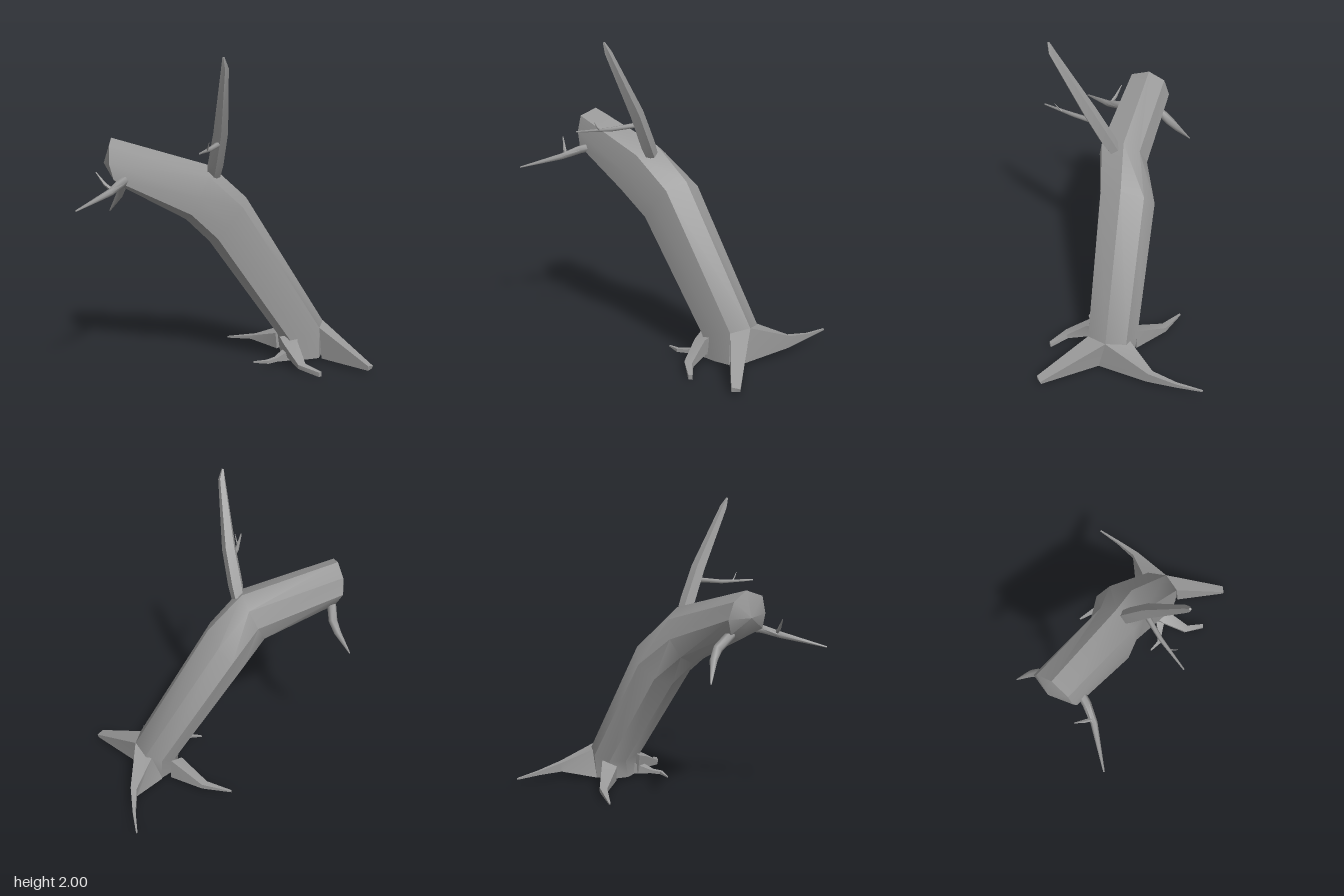
import * as THREE from 'three';
import { toCreasedNormals } from 'three/addons/utils/BufferGeometryUtils.js';

const V = (x, y, z) => new THREE.Vector3(x, y, z);
const material = new THREE.MeshStandardMaterial({ color: 0x989898 });

// Skin between rings of equal point count, closed at both ends (the last centre may be pushed out)
function loft(name, rings, crease, endCentre) {
  const n = rings[0].length;
  const centre = (r) => r.reduce((s, p) => s.add(p), V(0, 0, 0)).divideScalar(n);
  const last = rings.length - 1;
  const tris = [];
  for (let i = 0; i < last; i++) {
    for (let j = 0; j < n; j++) {
      const k = (j + 1) % n;
      const a = rings[i][j], b = rings[i][k], c = rings[i + 1][k], d = rings[i + 1][j];
      tris.push([a, b, c], [a, c, d]);
    }
  }
  const start = centre(rings[0]), end = endCentre || centre(rings[last]);
  for (let j = 0; j < n; j++) {
    const k = (j + 1) % n;
    tris.push([start, rings[0][k], rings[0][j]], [end, rings[last][j], rings[last][k]]);
  }
  // Turn the skin outward if its signed volume is negative
  const mid = start.clone().add(end).multiplyScalar(0.5);
  let volume = 0;
  for (const [a, b, c] of tris) {
    volume += a.clone().sub(mid).dot(b.clone().sub(mid).cross(c.clone().sub(mid)));
  }
  const points = tris.flatMap(([a, b, c]) => (volume < 0 ? [a, c, b] : [a, b, c]));
  const geometry = new THREE.BufferGeometry().setFromPoints(points);
  const mesh = new THREE.Mesh(toCreasedNormals(geometry, crease), material);
  mesh.name = name;
  return mesh;
}

// Tapered limb through stations [x, y, z, radius]
function limb(name, stations, sides = 6) {
  const pts = stations.map(([x, y, z]) => V(x, y, z));
  const ref = Math.abs(pts[0].y - pts[pts.length - 1].y) > 0.5 ? V(1, 0, 0) : V(0, 1, 0);
  const rings = stations.map((s, i) => {
    const dir = pts[Math.min(i + 1, pts.length - 1)].clone().sub(pts[Math.max(i - 1, 0)]).normalize();
    const u = ref.clone().cross(dir).normalize();
    const v = dir.clone().cross(u);
    return Array.from({ length: sides }, (_, j) => {
      const a = (j / sides) * Math.PI * 2;
      return pts[i].clone().addScaledVector(u, s[3] * Math.cos(a)).addScaledVector(v, s[3] * Math.sin(a));
    });
  });
  return loft(name, rings, 1.1);
}

// Flared root: each section is a four-cornered ring
const root = (name, sections) =>
  loft(name, sections.map((s) => s.map((p) => V(...p))), 0.5);

// Eight-sided trunk section as [share of the way from ridge to underside, share of half width];
// the front is broad and flat, the back is rounder
const section = [
  [0, 0], [0.145, 0.79], [0.5, 0.97], [0.82, 1],
  [1, 0], [0.86, -0.65], [0.53, -1], [0.19, -0.74],
];
function trunkRing([rx, ry, ux, uy, z, front, back, bulge = 0]) {
  return section.map(([t, s]) => V(
    rx + (ux - rx) * t - bulge * 4 * t * (1 - t),
    ry + (uy - ry) * t,
    z + s * (s > 0 ? front : back),
  ));
}

export function createModel() {
  const model = new THREE.Group();
  model.name = 'deadTree';

  // Leaning, bent trunk
  const trunk = [
    [0.655, 0.02, 0.37, 0.02, 0.03, 0.14, 0.18],
    [0.66, 0.24, 0.354, 0.15, 0.0, 0.17, 0.17],
    [0.13, 1.1, -0.11, 0.81, 0.048, 0.185, 0.195],
    [-0.1, 1.315, -0.265, 0.968, 0.095, 0.2, 0.135],
    [-0.735, 1.5, -0.69, 1.195, 0.1, 0.16, 0.145, 0.03],
  ];
  model.add(loft('trunk', trunk.map(trunkRing), 0.62, V(-0.785, 1.34, 0.1)));

  // Branches and their twigs
  model.add(
    limb('tallBranch', [[-0.09, 1.26, 0.155, 0.045], [-0.08, 1.34, 0.2, 0.052],
      [-0.055, 1.55, 0.31, 0.048], [-0.045, 1.94, 0.535, 0.024], [-0.055, 2.0, 0.557, 0.007]], 5),
    limb('sideBranch', [[-0.06, 1.475, 0.28, 0.018], [-0.13, 1.455, 0.45, 0.014], [-0.2, 1.455, 0.67, 0.005]]),
    limb('sideTwig', [[-0.15, 1.455, 0.53, 0.005], [-0.145, 1.48, 0.555, 0.004], [-0.14, 1.51, 0.575, 0.002]], 4),
    limb('endBranch', [[-0.63, 1.255, 0.2, 0.03], [-0.67, 1.235, 0.3, 0.028],
      [-0.73, 1.195, 0.4, 0.022], [-0.92, 1.12, 0.62, 0.005]]),
    limb('endTwig', [[-0.71, 1.2, 0.385, 0.012], [-0.765, 1.24, 0.355, 0.011], [-0.82, 1.31, 0.325, 0.003]], 5),
    limb('hangingBranch', [[-0.69, 1.24, 0.03, 0.03], [-0.68, 1.16, -0.07, 0.03],
      [-0.7, 1.1, -0.12, 0.024], [-0.77, 0.98, -0.2, 0.004]]),
  );

  // Roots spreading from the foot
  model.add(
    root('frontLeftRoot', [
      [[0.662, 0.24, 0], [0.615, 0.228, 0.135], [0.63, 0.02, 0.15], [0.665, 0.02, 0.05]],
      [[0.925, 0.04, 0.37], [0.885, 0.05, 0.405], [0.885, 0.02, 0.405], [0.92, 0.02, 0.365]],
    ]),
    root('backLeftRoot', [
      [[0.662, 0.24, 0], [0.56, 0.215, -0.135], [0.5, 0.02, -0.155], [0.665, 0.02, 0.05]],
      [[0.728, 0.12, -0.31], [0.69, 0.115, -0.33], [0.69, 0.05, -0.33], [0.725, 0.04, -0.3]],
      [[0.732, 0.085, -0.5], [0.712, 0.085, -0.5], [0.712, 0.055, -0.5], [0.732, 0.055, -0.5]],
      [[0.725, 0.07, -0.675], [0.715, 0.07, -0.675], [0.715, 0.06, -0.675], [0.725, 0.06, -0.675]],
    ]),
    root('backRightRoot', [
      [[0.43, 0.17, -0.15], [0.35, 0.13, -0.08], [0.36, 0.02, -0.08], [0.44, 0.02, -0.15]],
      [[0.24, 0.06, -0.305], [0.2, 0.055, -0.27], [0.2, 0.03, -0.27], [0.24, 0.025, -0.305]],
      [[0.045, 0.025, -0.365], [0.04, 0.025, -0.355], [0.04, 0.015, -0.355], [0.045, 0.015, -0.365]],
    ]),
    root('frontRoot', [
      [[0.47, 0.18, 0.12], [0.35, 0.17, 0.12], [0.37, 0.03, 0.12], [0.46, 0.03, 0.12]],
      [[0.46, 0.155, 0.2], [0.37, 0.14, 0.2], [0.39, 0.05, 0.18], [0.45, 0.05, 0.18]],
      [[0.49, 0.055, 0.34], [0.44, 0.055, 0.36], [0.44, 0.025, 0.35], [0.49, 0.025, 0.33]],
      [[0.58, 0.03, 0.425], [0.56, 0.03, 0.44], [0.56, 0.0, 0.44], [0.58, 0.0, 0.425]],
    ]),
    root('frontRightRoot', [
      [[0.43, 0.1, 0.17], [0.4, 0.1, 0.1], [0.4, 0.02, 0.1], [0.43, 0.02, 0.17]],
      [[0.32, 0.055, 0.22], [0.31, 0.055, 0.19], [0.31, 0.03, 0.19], [0.32, 0.03, 0.22]],
      [[0.26, 0.05, 0.255], [0.25, 0.05, 0.23], [0.25, 0.03, 0.23], [0.26, 0.03, 0.255]],
      [[0.165, 0.04, 0.235], [0.165, 0.04, 0.225], [0.165, 0.032, 0.225], [0.165, 0.032, 0.235]],
    ]),
  );
  return model;
}
